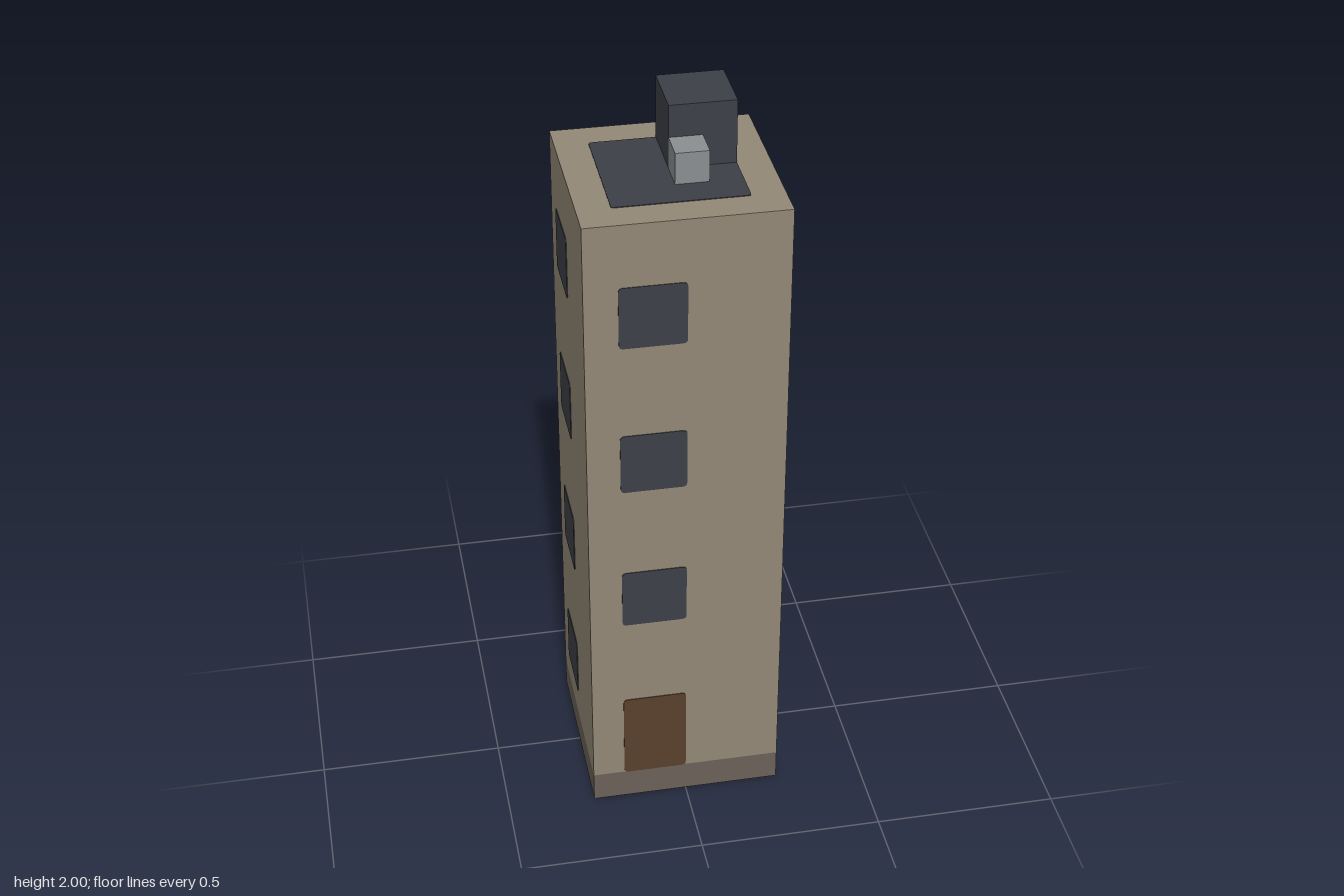
import * as THREE from 'three';

const U = 0.087; // building module
const HALF = 3 * U;
const ROOF = 21 * U;

const mat = (name, color) => {
  const m = new THREE.MeshStandardMaterial({ color });
  m.name = name;
  return m;
};

export function createModel() {
  const wall = mat('tan wall', 0x938876);
  const stone = mat('dark plinth', 0x6b6259);
  const slate = mat('dark slate', 0x3c4047);
  const wood = mat('brown door', 0x5a402d);
  const metal = mat('grey metal', 0x8b8f92);

  const model = new THREE.Group();
  model.name = 'towerBlock';

  const add = (parent, name, geometry, material, x, y, z) => {
    const mesh = new THREE.Mesh(geometry, material);
    mesh.name = name;
    mesh.position.set(x, y, z);
    parent.add(mesh);
    return mesh;
  };
  const box = (name, material, w, h, d, x, y, z) =>
    add(model, name, new THREE.BoxGeometry(w, h, d), material, x, y + h / 2, z);

  // Thin panel with softly rounded corners, facing +z
  const panel = (w, h, r = 0.012) => {
    const a = w / 2, b = h / 2;
    const s = new THREE.Shape();
    s.moveTo(-a + r, -b);
    s.lineTo(a - r, -b);
    s.quadraticCurveTo(a, -b, a, -b + r);
    s.lineTo(a, b - r);
    s.quadraticCurveTo(a, b, a - r, b);
    s.lineTo(-a + r, b);
    s.quadraticCurveTo(-a, b, -a, b - r);
    s.lineTo(-a, -b + r);
    s.quadraticCurveTo(-a, -b, -a + r, -b);
    return new THREE.ExtrudeGeometry(s, { depth: 0.002, bevelEnabled: false, curveSegments: 4 });
  };

  // Plinth and tower body
  box('plinth', stone, 2 * HALF, U, 2 * HALF, 0, 0, 0);
  box('walls', wall, 2 * HALF, ROOF - U, 2 * HALF, 0, U, 0);

  // Four sides: one column of windows each, with the door on the front.
  // offset is the panel centre measured to the right when facing that side.
  const sides = [
    { name: 'front', turn: 0, offset: -U },
    { name: 'left', turn: Math.PI / 2, offset: U },
    { name: 'back', turn: Math.PI, offset: U },
    { name: 'right', turn: -Math.PI / 2, offset: -U },
  ];
  const windowShape = panel(2 * U, 2 * U);
  for (const { name, turn, offset } of sides) {
    const side = new THREE.Group();
    side.name = name + 'Openings';
    side.rotation.y = turn;
    model.add(side);
    for (let floor = 0; floor < 4; floor++) {
      if (name === 'front' && floor === 0) {
        add(side, 'door', panel(2 * U, 3 * U), wood, offset, 2.5 * U, HALF);
      } else {
        add(side, 'window', windowShape, slate, offset, (3 + 5 * floor) * U, HALF);
      }
    }
  }

  // Roof covering, stair housing and vent
  add(model, 'roofCovering', panel(4 * U, 4 * U, 0.008), slate, 0, ROOF, 0).rotation.x = -Math.PI / 2;
  box('stairHousing', slate, 2 * U, 2 * U, 2 * U, U, ROOF, -U);
  box('roofVent', metal, U, U, U, U / 2, ROOF, U / 2);

  return model;
}
